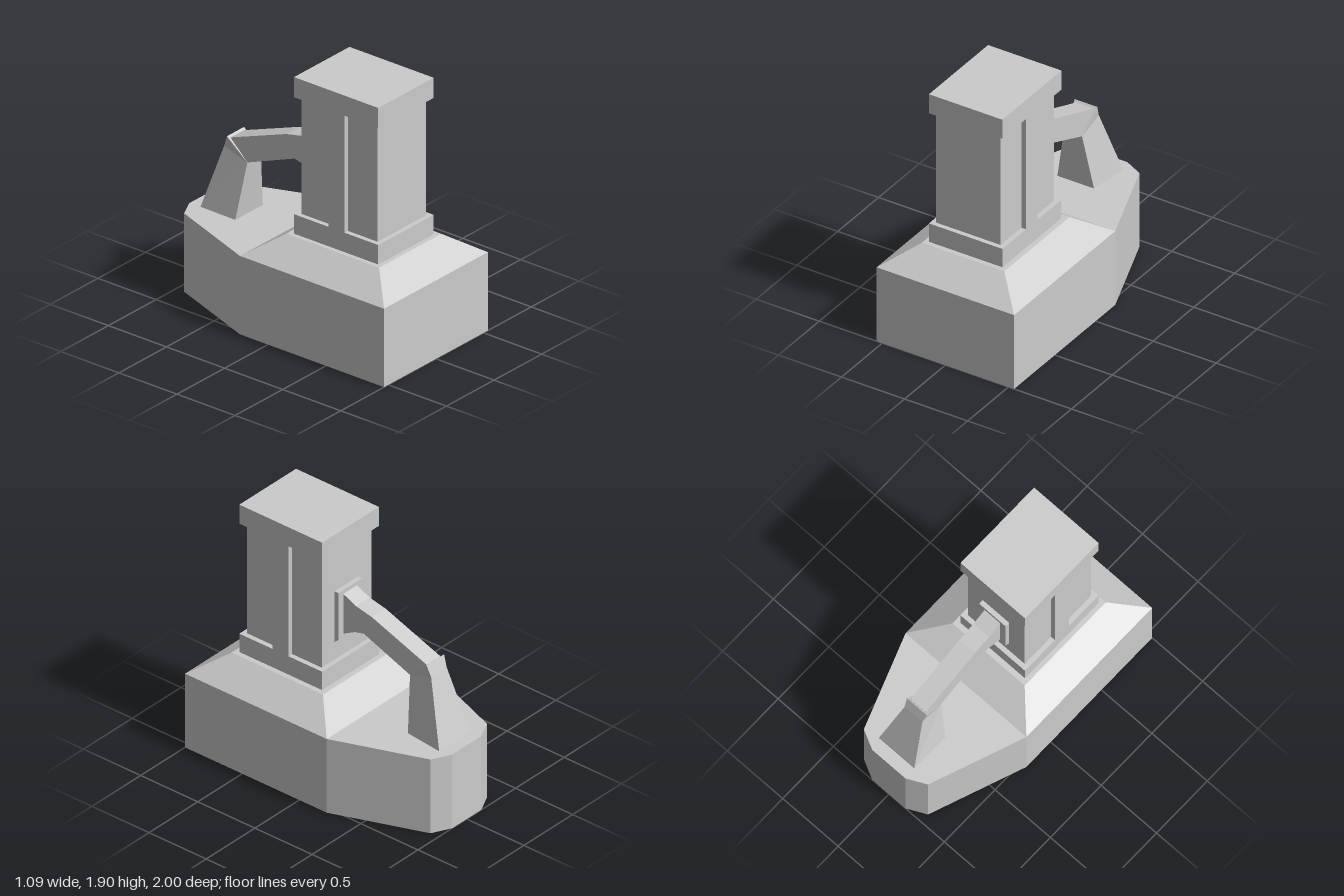
import * as THREE from 'three';

const material = new THREE.MeshStandardMaterial({ color: 0xcccccc, flatShading: true });

export function createModel() {
  const model = new THREE.Group();

  const add = (name, geometry) => {
    const mesh = new THREE.Mesh(geometry, material);
    mesh.name = name;
    model.add(mesh);
  };

  // Box given by its limits on each axis
  const box = (name, [x0, x1], [y0, y1], [z0, z1]) => {
    const g = new THREE.BoxGeometry(x1 - x0, y1 - y0, z1 - z0);
    g.translate((x0 + x1) / 2, (y0 + y1) / 2, (z0 + z1) / 2);
    add(name, g);
  };

  const shapeOf = (points) => new THREE.Shape(points.map(([a, b]) => new THREE.Vector2(a, b)));

  // Side profile of [z, y] points, extruded across x
  const sideProfile = (name, points, halfWidth) => {
    const g = new THREE.ExtrudeGeometry(shapeOf(points), { depth: halfWidth * 2, bevelEnabled: false });
    g.rotateY(-Math.PI / 2).translate(halfWidth, 0, 0);
    add(name, g);
  };

  // Closed solid through four-cornered rings, each counterclockwise from above
  const loft = (name, rings) => {
    const index = [];
    for (let r = 0; r < rings.length - 1; r++) {
      for (let i = 0; i < 4; i++) {
        const a = r * 4 + i, b = r * 4 + ((i + 1) % 4);
        index.push(a, b, b + 4, a, b + 4, a + 4);
      }
    }
    const t = (rings.length - 1) * 4;
    index.push(0, 2, 1, 0, 3, 2, t, t + 1, t + 2, t, t + 2, t + 3);
    const indexed = new THREE.BufferGeometry();
    indexed.setAttribute('position', new THREE.Float32BufferAttribute(rings.flat(2), 3));
    indexed.setIndex(index);
    const g = indexed.toNonIndexed();
    g.computeVertexNormals();
    add(name, g);
  };

  // Ring with a front edge and a rear edge, each { l, r, y, z }
  const ring = (f, b) => [[f.r, f.y, f.z], [b.r, b.y, b.z], [b.l, b.y, b.z], [f.l, f.y, f.z]];
  const edge = (l, r, y, z) => ({ l, r, y, z });

  // Base with tapered rear
  const base = new THREE.ExtrudeGeometry(shapeOf([
    [-0.545, 1], [0.545, 1], [0.545, -0.24], [0.29, -0.93],
    [0.15, -1], [-0.15, -1], [-0.29, -0.93], [-0.545, -0.24],
  ]), { depth: 0.583, bevelEnabled: false });
  base.rotateX(Math.PI / 2).translate(0, 0.583, 0);
  add('base', base);

  // Sloped shoulder above the base
  loft('shoulder', [
    ring(edge(-0.545, 0.545, 0.583, 1), edge(-0.545, 0.545, 0.583, -0.24)),
    ring(edge(-0.328, 0.325, 0.735, 0.78), edge(-0.328, 0.325, 0.735, -0.02)),
  ]);

  // Tower: plinth, shaft, cap and a raised rib on each side
  const wide = [-0.295, 0.287], deep = [0.02, 0.745];
  box('plinth', wide, [0.735, 0.88], deep);
  box('shaft', [-0.26, 0.25], [0.88, 1.75], [0.055, 0.71]);
  box('cap', wide, [1.75, 1.9], deep);
  box('rightRib', [-0.295, -0.26], [0.88, 1.75], [0.315, 0.455]);
  box('leftRib', [0.25, 0.287], [0.88, 1.75], [0.315, 0.455]);

  // Mounting plate on the back of the shaft
  sideProfile('mountingPlate', [[0.055, 1.02], [0.055, 1.42], [0.02, 1.42], [0.02, 1.05]], 0.12);

  // Bent arm reaching back to the leg
  sideProfile('arm', [
    [0.02, 1.39], [-0.09, 1.34], [-0.23, 1.31], [-0.71, 1.133],
    [-0.72, 1.05], [-0.57, 0.99], [-0.16, 1.15], [-0.08, 1.13], [0.02, 1.075],
  ], 0.07);

  // Flared leg with a peaked rear top
  loft('leg', [
    ring(edge(-0.15, 0.14, 0.583, -0.605), edge(-0.145, 0.175, 0.583, -0.908)),
    ring(edge(-0.072, 0.072, 0.99, -0.565), edge(-0.08, 0.08, 1.06, -0.757)),
    ring(edge(-0.072, 0.072, 0.995, -0.569), edge(-0.09, 0.09, 1.145, -0.725)),
  ]);

  return model;
}
